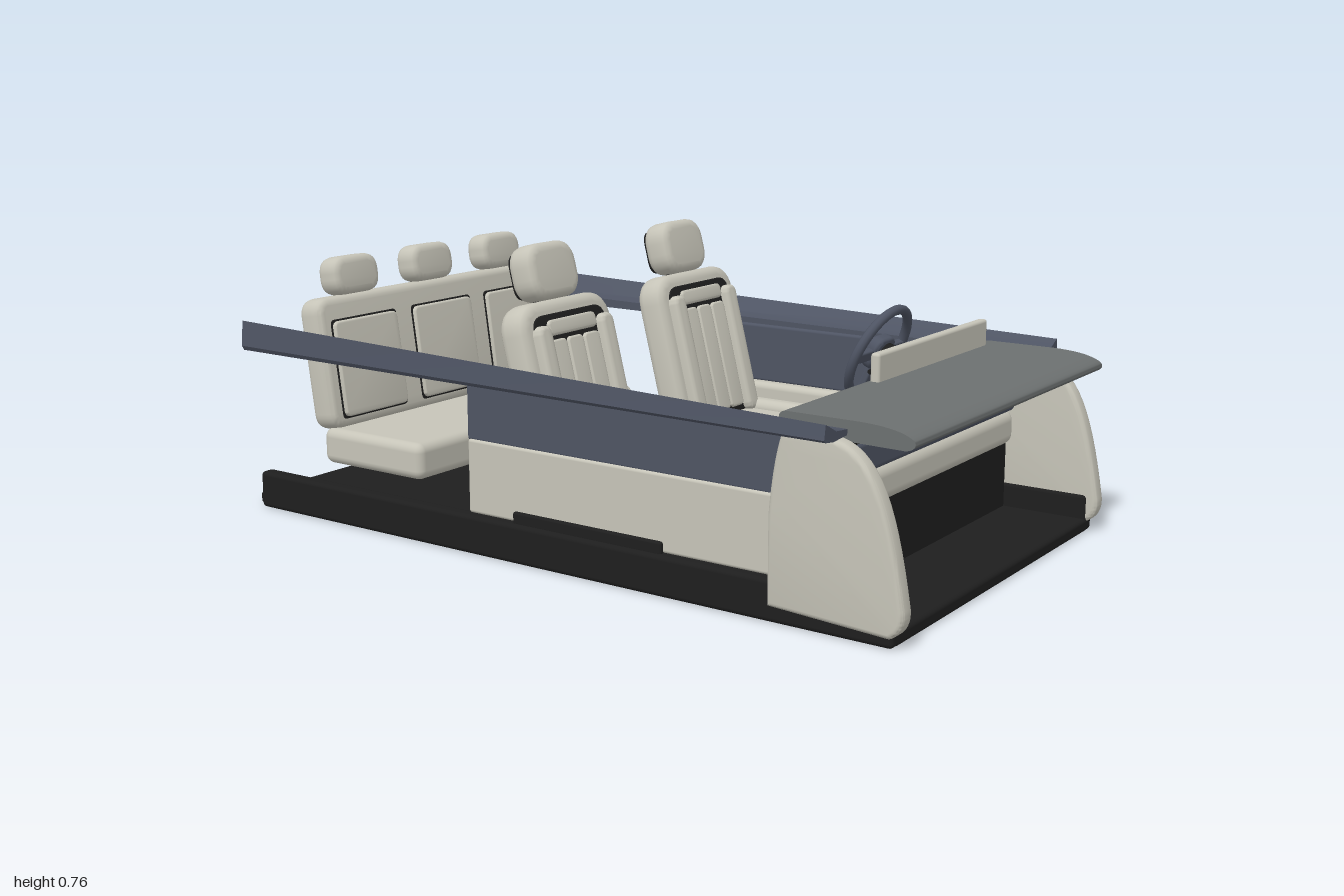
import * as THREE from 'three';
import { toCreasedNormals } from 'three/addons/utils/BufferGeometryUtils.js';
import { RoundedBoxGeometry } from 'three/addons/geometries/RoundedBoxGeometry.js';

const mat = (name, color) => Object.assign(new THREE.MeshStandardMaterial({ color }), { name });

export function createModel() {
  const cream = mat('cream upholstery', 0xc6c4b8);
  const slate = mat('slate trim', 0x4e5463);
  const black = mat('black plastic', 0x1e1e1e);
  const grey = mat('grey dash top', 0x6c7070);

  const model = new THREE.Group();
  model.name = 'cabinInterior';

  const add = (parent, name, geo, material, x = 0, y = 0, z = 0) => {
    const m = new THREE.Mesh(geo, material);
    m.name = name;
    m.position.set(x, y, z);
    parent.add(m);
    return m;
  };
  // Box given by its min and max on every axis; r rounds the edges
  const block = (parent, name, material, [x0, x1], [y0, y1], [z0, z1], r = 0) => {
    const d = [x1 - x0, y1 - y0, z1 - z0];
    const geo = r ? new RoundedBoxGeometry(...d, 3, r) : new THREE.BoxGeometry(...d);
    return add(parent, name, geo, material, (x0 + x1) / 2, (y0 + y1) / 2, (z0 + z1) / 2);
  };
  // Upright pad facing x: rounded rectangle with soft edges
  const pad = (t, h, w, r, bevel) => {
    const a = w / 2 - bevel, b = h / 2 - bevel, s = new THREE.Shape();
    s.moveTo(-a + r, -b);
    s.lineTo(a - r, -b).quadraticCurveTo(a, -b, a, -b + r);
    s.lineTo(a, b - r).quadraticCurveTo(a, b, a - r, b);
    s.lineTo(-a + r, b).quadraticCurveTo(-a, b, -a, b - r);
    s.lineTo(-a, -b + r).quadraticCurveTo(-a, -b, -a + r, -b);
    const geo = new THREE.ExtrudeGeometry(s, {
      depth: t - 2 * bevel, bevelSize: bevel, bevelThickness: bevel, bevelSegments: 3, curveSegments: 6,
    });
    geo.translate(0, 0, bevel - t / 2).rotateY(Math.PI / 2);
    return toCreasedNormals(geo, 0.7);
  };

  // Floor tray and front bulkhead
  block(model, 'floor', black, [-1, 0.97], [0, 0.035], [-0.53, 0.53], 0.01);
  block(model, 'bulkhead', black, [0.72, 0.74], [0.03, 0.22], [-0.51, 0.51]);

  // Side structures, mirrored
  for (const s of [1, -1]) {
    const side = new THREE.Group();
    side.name = s > 0 ? 'nearSide' : 'farSide';
    model.add(side);
    const span = (a, b) => (s > 0 ? [a, b] : [-b, -a]);

    block(side, 'sill', black, [-0.97, 0.97], [0, 0.1], span(0.51, 0.553), 0.012);
    block(side, 'doorLowerPanel', cream, [-0.235, 0.72], [0.1, 0.29], span(0.505, 0.53), 0.008);
    block(side, 'doorUpperPanel', slate, [-0.24, 0.72], [0.285, 0.45], span(0.505, 0.525), 0.008);
    block(side, 'doorPocket', black, [-0.085, 0.36], [0.095, 0.128], span(0.52, 0.54), 0.006);
    block(side, 'doorArmrest', cream, [-0.1, 0.51], [0.19, 0.29], span(0.465, 0.512), 0.018);
    block(side, 'doorHandle', black, [0.33, 0.42], [0.29, 0.305], span(0.475, 0.5), 0.005);

    // Door speakers on the inner face
    for (const [x, y, r] of [[0.57, 0.21, 0.05], [0.5, 0.36, 0.035]]) {
      const sp = add(side, 'speaker', new THREE.CylinderGeometry(r, r, 0.008, 24), black, x, y, s * 0.502);
      sp.rotation.x = Math.PI / 2;
    }

    // Curved front side panel
    const f = new THREE.Shape();
    f.moveTo(0.67, 0.05);
    f.lineTo(0.67, 0.25);
    f.quadraticCurveTo(0.68, 0.37, 0.7, 0.43);
    f.lineTo(0.82, 0.43);
    f.bezierCurveTo(0.91, 0.41, 0.95, 0.3, 0.985, 0.09);
    f.quadraticCurveTo(0.99, 0.05, 0.96, 0.035);
    const fg = new THREE.ExtrudeGeometry(f, {
      depth: 0.025, bevelSize: 0.011, bevelThickness: 0.01, bevelSegments: 3, curveSegments: 14,
    });
    fg.translate(0, 0, s > 0 ? 0.525 : -0.55);
    add(side, 'frontSidePanel', toCreasedNormals(fg, 0.7), cream);

    // Beltline rail: wedge section, tapering in height toward the front
    const sec = [[0.515, 0.447], [0.575, 0.44], [0.606, 0.448], [0.613, 0.46],
      [0.607, 0.527], [0.594, 0.515], [0.562, 0.482], [0.515, 0.474]];
    const rg = new THREE.ExtrudeGeometry(
      new THREE.Shape(sec.map(([z, y]) => new THREE.Vector2(-s * z, y))),
      { depth: 1.78, steps: 4, bevelEnabled: false });
    rg.rotateY(Math.PI / 2).translate(-0.95, 0, 0);
    const p = rg.attributes.position;
    for (let i = 0; i < p.count; i++) {
      const k = 1 - 0.5 * (p.getX(i) + 0.95) / 1.78;
      p.setY(i, 0.44 + (p.getY(i) - 0.44) * k);
    }
    add(side, 'beltlineRail', toCreasedNormals(rg, 0.5), slate);
  }

  // Dashboard: curved top and stacked bands below
  const top = new THREE.Shape();
  top.moveTo(0.66, 0.43);
  top.lineTo(0.66, 0.465);
  top.quadraticCurveTo(0.66, 0.476, 0.68, 0.477);
  top.lineTo(0.86, 0.477);
  top.quadraticCurveTo(0.96, 0.475, 0.99, 0.452);
  top.quadraticCurveTo(1.0, 0.435, 0.97, 0.428);
  top.lineTo(0.8, 0.43);
  const tg = new THREE.ExtrudeGeometry(top, { depth: 1.03, bevelEnabled: false, curveSegments: 10 });
  tg.translate(0, 0, -0.515);
  add(model, 'dashTop', toCreasedNormals(tg, 0.7), grey);
  block(model, 'dashVentBand', black, [0.69, 0.76], [0.375, 0.432], [-0.5, 0.5]);
  block(model, 'dashUpperBand', slate, [0.675, 0.765], [0.3, 0.382], [-0.51, 0.51], 0.015);
  block(model, 'dashLowerBand', cream, [0.67, 0.765], [0.21, 0.305], [-0.51, 0.51], 0.03);
  for (const z of [-0.42, -0.1, 0.1, 0.42])
    block(model, 'airVent', black, [0.67, 0.676], [0.325, 0.36], [z - 0.06, z + 0.06]);

  // Wide display standing on the dash
  block(model, 'displayPanel', cream, [0.675, 0.7], [0.46, 0.545], [-0.455, 0.135], 0.008);
  for (const [a, b] of [[-0.44, -0.18], [-0.15, 0.12]])
    block(model, 'screen', black, [0.671, 0.677], [0.48, 0.535], [a, b]);

  // Steering wheel, tilted, with column and stalks
  const wheel = new THREE.Group();
  wheel.name = 'steeringWheel';
  wheel.position.set(0.47, 0.46, -0.29);
  wheel.rotation.z = -0.42;
  model.add(wheel);
  const rim = add(wheel, 'rim', new THREE.TorusGeometry(0.125, 0.013, 10, 40), slate);
  rim.rotation.y = Math.PI / 2;
  add(wheel, 'hub', pad(0.035, 0.09, 0.1, 0.025, 0.01), slate);
  block(wheel, 'crossSpoke', slate, [-0.01, 0.01], [-0.015, 0.015], [-0.12, 0.12], 0.005);
  block(wheel, 'lowerSpoke', slate, [-0.01, 0.01], [-0.12, 0], [-0.015, 0.015], 0.005);
  const column = add(wheel, 'column', new THREE.CylinderGeometry(0.035, 0.04, 0.23, 20), black, 0.125, 0, 0);
  column.rotation.z = Math.PI / 2;
  const stalk = add(wheel, 'stalks', new THREE.CylinderGeometry(0.007, 0.007, 0.29, 10), black, 0.06, 0, 0);
  stalk.rotation.x = Math.PI / 2;

  // Front seats
  for (const z of [-0.29, 0.29]) {
    const seat = new THREE.Group();
    seat.name = 'frontSeat';
    seat.position.z = z;
    model.add(seat);
    block(seat, 'seatBase', black, [-0.06, 0.24], [0.03, 0.15], [-0.13, 0.13]);
    block(seat, 'cushion', cream, [-0.1, 0.29], [0.13, 0.225], [-0.18, 0.18], 0.03);
    for (const s of [-1, 1])
      block(seat, 'cushionBolster', cream, [-0.08, 0.275], [0.15, 0.25], [s * 0.155 - 0.03, s * 0.155 + 0.03], 0.025);

    const back = new THREE.Group();
    back.name = 'seatBack';
    back.position.set(-0.045, 0.19, 0);
    back.rotation.z = 0.25;
    seat.add(back);
    add(back, 'backrest', pad(0.085, 0.44, 0.365, 0.05, 0.025), cream, 0, 0.22, 0);
    add(back, 'seam', pad(0.01, 0.38, 0.29, 0.04, 0.003), black, 0.041, 0.215, 0);
    for (const i of [-1, 0, 1])
      add(back, 'backFlute', pad(0.02, 0.3, 0.062, 0.008, 0.006), cream, 0.044, 0.19, i * 0.066);
    for (const s of [-1, 1])
      add(back, 'backBolster', pad(0.06, 0.36, 0.05, 0.012, 0.012), cream, 0.04, 0.2, s * 0.125);
    add(back, 'upperBackPad', pad(0.022, 0.04, 0.19, 0.01, 0.006), cream, 0.044, 0.37, 0);
    for (const s of [-1, 1])
      add(back, 'headrestPost', new THREE.CylinderGeometry(0.007, 0.007, 0.08, 10), black, -0.01, 0.45, s * 0.05);
    add(back, 'headrest', pad(0.08, 0.145, 0.19, 0.035, 0.022), cream, -0.005, 0.512, 0);
    add(back, 'headrestBack', pad(0.01, 0.12, 0.165, 0.03, 0.004), black, -0.044, 0.51, 0);
  }

  // Centre console with armrest and cup holders
  block(model, 'consoleBase', black, [-0.2, 0.04], [0.03, 0.235], [-0.08, 0.08]);
  block(model, 'consoleArmrest', cream, [-0.22, 0.04], [0.225, 0.268], [-0.1, 0.095], 0.012);
  block(model, 'cupTray', black, [0.03, 0.27], [0.03, 0.165], [-0.09, 0.08]);
  for (const z of [-0.087, 0.072])
    block(model, 'trayEdge', cream, [0.09, 0.27], [0.14, 0.178], [z - 0.007, z + 0.007]);
  block(model, 'trayFront', cream, [0.255, 0.27], [0.14, 0.178], [-0.09, 0.075]);
  for (const z of [-0.045, 0.035]) {
    const cup = add(model, 'cupHolder', new THREE.TorusGeometry(0.032, 0.006, 8, 24), black, 0.175, 0.168, z);
    cup.rotation.x = Math.PI / 2;
  }

  // Rear bench
  const bench = new THREE.Group();
  bench.name = 'rearBench';
  model.add(bench);
  block(bench, 'benchCushion', cream, [-0.81, -0.455], [0.13, 0.228], [-0.475, 0.47], 0.025);
  const back = new THREE.Group();
  back.name = 'benchBack';
  back.position.set(-0.798, 0.22, 0);
  back.rotation.z = 0.14;
  bench.add(back);
  add(back, 'benchBackrest', pad(0.08, 0.355, 0.945, 0.025, 0.02), cream, 0, 0.178, 0);
  for (const z of [-0.31, 0, 0.31]) {
    add(back, 'panelSeam', pad(0.008, 0.27, 0.25, 0.012, 0.002), black, 0.038, 0.16, z);
    add(back, 'backPanel', pad(0.02, 0.26, 0.24, 0.012, 0.006), cream, 0.042, 0.16, z);
    add(back, 'rearHeadrest', pad(0.075, 0.105, 0.17, 0.025, 0.02), cream, 0, 0.407, z * 0.98);
    block(back, 'headrestStem', cream, [-0.02, 0.02], [0.33, 0.38], [z * 0.98 - 0.04, z * 0.98 + 0.04]);
  }
  return model;
}
